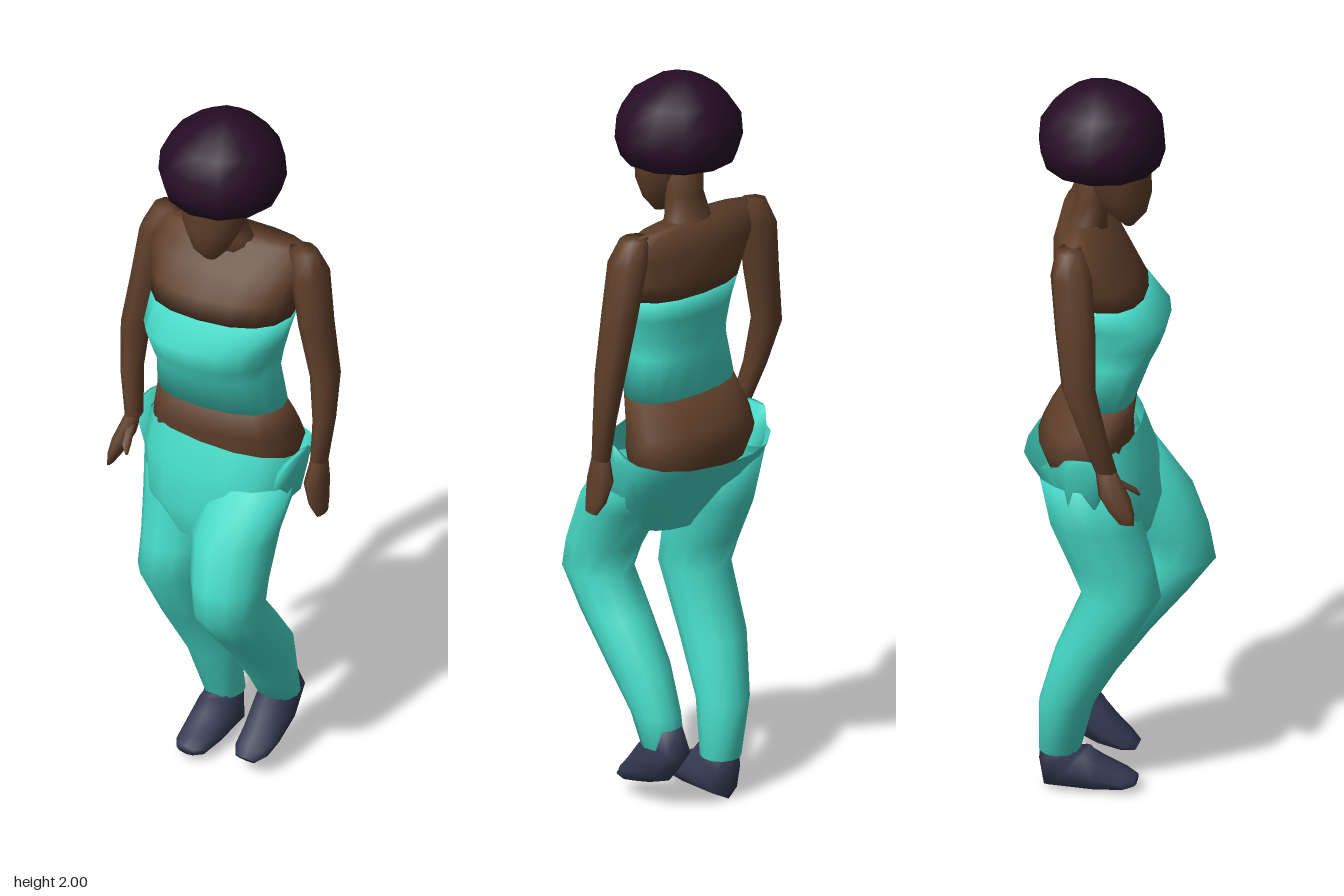
import * as THREE from 'three';

const mat = (name, color, side = THREE.FrontSide) => {
  const m = new THREE.MeshStandardMaterial({ color, side });
  m.name = name;
  return m;
};

// Skin a stack of elliptical rings [x, y, z, rx, rz, tilt]; tilt lifts the front edge.
function loft(rings, { sides = 12, power = 1, shear = 0, open = false } = {}) {
  const list = rings[0][1] > rings[rings.length - 1][1] ? [...rings].reverse() : rings;
  const pos = [], idx = [];
  const bend = (v) => Math.sign(v) * Math.abs(v) ** power;
  for (const [x, y, z, rx, rz, tilt = 0] of list) {
    for (let i = 0; i < sides; i++) {
      const a = (i / sides) * Math.PI * 2;
      const dx = rx * bend(Math.sin(a)), dz = rz * bend(Math.cos(a));
      pos.push(x + dx, y + dz * Math.sin(tilt), z + dz * Math.cos(tilt) + shear * dx);
    }
  }
  const last = list.length - 1;
  for (let j = 0; j < last; j++) {
    for (let i = 0; i < sides; i++) {
      const a = j * sides + i, b = j * sides + (i + 1) % sides;
      idx.push(a, b, b + sides, a, b + sides, a + sides);
    }
  }
  if (!open) {
    const base = pos.length / 3;
    pos.push(...list[0].slice(0, 3), ...list[last].slice(0, 3));
    for (let i = 0; i < sides; i++) {
      const n = (i + 1) % sides, t = last * sides;
      idx.push(base, n, i, base + 1, t + i, t + n);
    }
  }
  const g = new THREE.BufferGeometry();
  g.setAttribute('position', new THREE.Float32BufferAttribute(pos, 3));
  g.setIndex(idx);
  g.computeVertexNormals();
  return g;
}

export function createModel() {
  const model = new THREE.Group();
  model.name = 'standingWoman';
  const skin = mat('brown skin', 0x5e3e29);
  const hair = mat('dark plum hair', 0x260d26);
  const cloth = mat('turquoise cloth', 0x45d8c6, THREE.DoubleSide);
  const shoe = mat('slate shoes', 0x343a52);
  const add = (name, material, rings, options) => {
    const mesh = new THREE.Mesh(loft(rings, options), material);
    mesh.name = name;
    model.add(mesh);
  };

  // Hair, head and neck
  add('hair', hair, [
    [0, 1.765, -0.05, 0.09, 0.09], [0.002, 1.78, -0.04, 0.153, 0.152],
    [0.002, 1.83, -0.04, 0.167, 0.168], [0.002, 1.89, -0.04, 0.162, 0.163],
    [0.002, 1.945, -0.04, 0.125, 0.128], [0.002, 1.985, -0.045, 0.07, 0.075],
    [0.002, 2.0, -0.05, 0.02, 0.02]]);
  add('head', skin, [
    [0.01, 1.605, 0.03, 0.02, 0.015], [0.01, 1.64, 0.025, 0.05, 0.05],
    [0.008, 1.7, 0.01, 0.08, 0.08], [0.005, 1.78, -0.005, 0.093, 0.095],
    [0, 1.86, -0.02, 0.09, 0.1]]);
  add('neck', skin, [
    [0, 1.56, -0.09, 0.095, 0.065], [0, 1.62, -0.075, 0.065, 0.048],
    [0, 1.68, -0.062, 0.052, 0.045], [0, 1.8, -0.05, 0.055, 0.055]]);

  // Torso: bare shoulders, strapless top, bare midriff
  const torso = { sides: 16, power: 0.85, shear: -0.14 };
  const neckline = [0.008, 1.43, -0.04, 0.19, 0.122];
  const hem = [0.002, 1.135, -0.04, 0.172, 0.094];
  add('shoulders', skin, [
    neckline, [0, 1.48, -0.055, 0.193, 0.113], [0, 1.55, -0.078, 0.212, 0.09],
    [0, 1.615, -0.1, 0.195, 0.05]], torso);
  add('straplessTop', cloth, [
    hem, [0.005, 1.25, -0.018, 0.156, 0.117], [0.008, 1.3, -0.008, 0.164, 0.132],
    [0.008, 1.365, -0.003, 0.181, 0.145], neckline], torso);
  add('midriff', skin, [
    [0, 0.9, -0.07, 0.17, 0.1], [-0.005, 1.0, -0.08, 0.196, 0.128],
    [-0.005, 1.05, -0.07, 0.19, 0.114], hem], torso);

  // Arms, hanging with the right one slightly forward
  add('leftArm', skin, [
    [0.2, 1.615, -0.12, 0.04, 0.035], [0.222, 1.55, -0.12, 0.047, 0.06],
    [0.245, 1.4, -0.115, 0.044, 0.053], [0.273, 1.25, -0.115, 0.038, 0.045],
    [0.28, 1.12, -0.1, 0.028, 0.036], [0.278, 1.0, -0.08, 0.021, 0.03]], { sides: 8 });
  add('leftHand', skin, [
    [0.278, 1.01, -0.08, 0.02, 0.028], [0.275, 0.94, -0.073, 0.028, 0.045],
    [0.285, 0.88, -0.068, 0.02, 0.038], [0.298, 0.85, -0.065, 0.008, 0.025]], { sides: 8 });
  add('rightArm', skin, [
    [-0.2, 1.615, -0.085, 0.04, 0.035], [-0.224, 1.55, -0.075, 0.047, 0.055],
    [-0.245, 1.4, -0.06, 0.044, 0.053], [-0.273, 1.25, -0.045, 0.038, 0.045],
    [-0.262, 1.12, -0.01, 0.028, 0.036], [-0.235, 1.0, 0.02, 0.021, 0.03]], { sides: 8 });
  add('rightHand', skin, [
    [-0.235, 1.01, 0.018, 0.02, 0.028], [-0.25, 0.94, 0.045, 0.025, 0.042],
    [-0.259, 0.9, 0.065, 0.018, 0.034], [-0.265, 0.87, 0.08, 0.006, 0.02]], { sides: 8 });
  add('rightThumb', skin, [
    [-0.235, 0.985, 0.035, 0.014, 0.014], [-0.215, 0.95, 0.085, 0.012, 0.014],
    [-0.204, 0.93, 0.1, 0.004, 0.004]], { sides: 6 });

  // Loose trousers: open waist, hip flaps and two bent legs
  add('trouserWaist', cloth, [
    [0, 0.74, 0.01, 0.11, 0.08], [0, 0.83, -0.01, 0.19, 0.125],
    [0, 0.93, -0.05, 0.222, 0.145, 0.12], [0, 1.0, -0.087, 0.225, 0.152, 0.2]],
    { sides: 16, power: 0.85, open: true });
  for (const s of [1, -1]) {
    add(s > 0 ? 'leftHipFlap' : 'rightHipFlap', cloth, [
      [s * 0.19, 0.88, -0.05, 0.03, 0.07], [s * 0.217, 0.98, -0.05, 0.025, 0.075],
      [s * 0.238, 1.025, -0.05, 0.008, 0.04]], { sides: 6 });
  }
  add('leftTrouserLeg', cloth, [
    [0.11, 0.93, -0.04, 0.115, 0.12], [0.113, 0.8, 0.06, 0.112, 0.12],
    [0.128, 0.68, 0.112, 0.1, 0.108], [0.138, 0.6, 0.13, 0.09, 0.103],
    [0.135, 0.5, 0.055, 0.087, 0.103], [0.129, 0.38, -0.037, 0.078, 0.097],
    [0.118, 0.26, -0.1, 0.062, 0.073], [0.117, 0.18, -0.13, 0.057, 0.055]]);
  add('rightTrouserLeg', cloth, [
    [-0.11, 0.93, -0.06, 0.12, 0.125], [-0.108, 0.8, -0.035, 0.107, 0.125],
    [-0.1, 0.68, 0.005, 0.097, 0.115], [-0.1, 0.59, 0.033, 0.091, 0.105],
    [-0.098, 0.42, -0.05, 0.087, 0.093], [-0.083, 0.26, -0.117, 0.07, 0.072],
    [-0.06, 0.11, -0.14, 0.054, 0.055]]);

  // Shoes: right planted, left with the heel raised
  add('rightShoe', shoe, [
    [-0.063, 0.14, -0.14, 0.042, 0.048], [-0.06, 0.095, -0.135, 0.05, 0.062, 0.3],
    [-0.055, 0.062, -0.12, 0.056, 0.088, 0.78], [-0.05, 0.046, -0.04, 0.06, 0.046, 1.4],
    [-0.045, 0.032, 0.03, 0.05, 0.026, 1.57], [-0.045, 0.03, 0.06, 0.03, 0.012, 1.57]],
    { sides: 8 });
  add('leftShoe', shoe, [
    [0.115, 0.23, -0.14, 0.042, 0.05], [0.115, 0.185, -0.15, 0.05, 0.075, 0.3],
    [0.118, 0.135, -0.11, 0.055, 0.07, 0.8], [0.12, 0.09, -0.05, 0.057, 0.045, 1.0],
    [0.12, 0.062, 0.0, 0.05, 0.025, 1.0], [0.12, 0.05, 0.03, 0.03, 0.01, 1.0]],
    { sides: 8 });

  return model;
}
